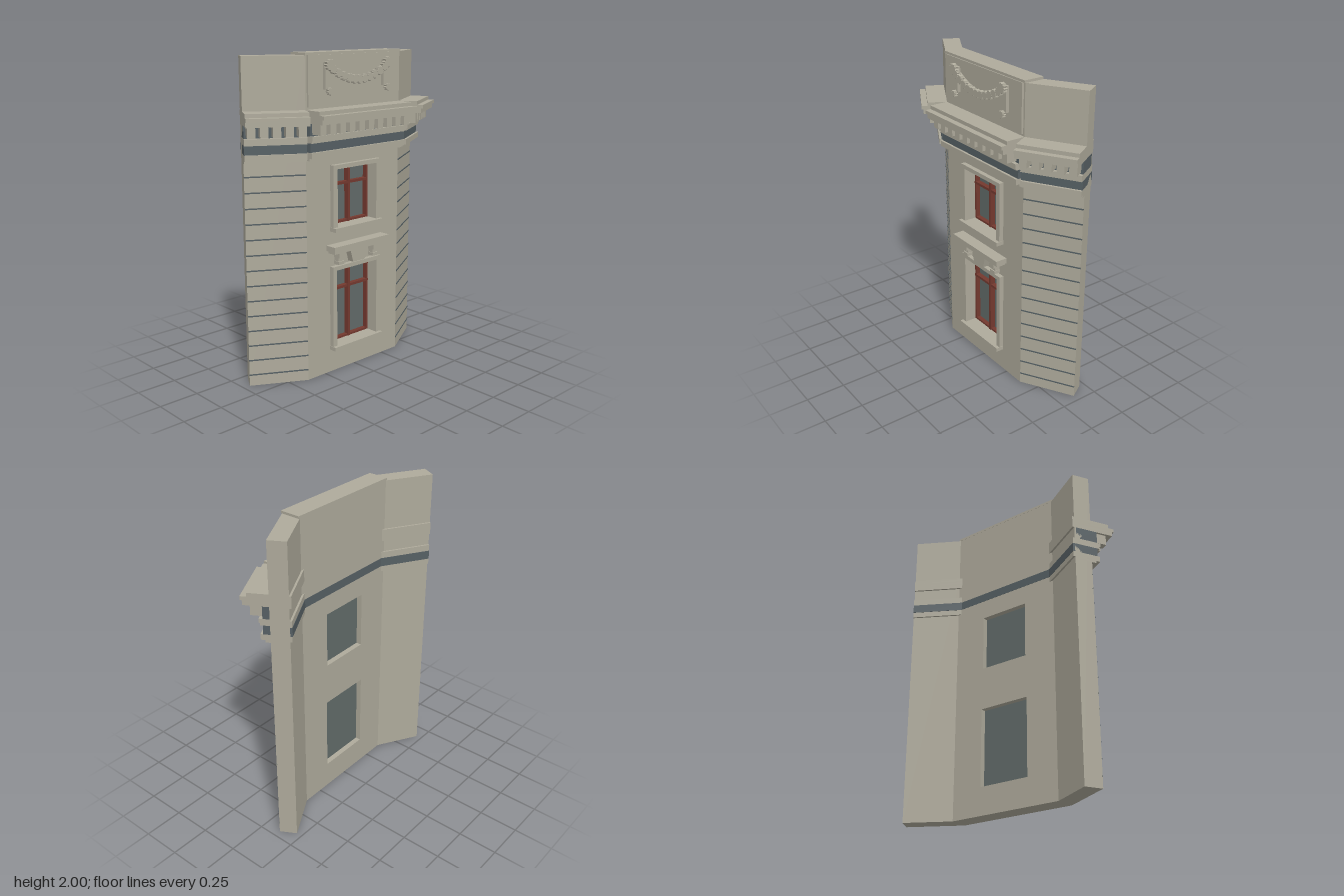
import * as THREE from 'three';

const mat = (name, color) => Object.assign(new THREE.MeshStandardMaterial({ color }), { name });

export function createModel() {
  const stone = mat('stone', 0xaeaa9b);
  const slate = mat('slate', 0x566064);
  const glass = mat('glass', 0x626b69);
  const joinery = mat('redJoinery', 0x74392f);

  const model = new THREE.Group();
  model.name = 'facadeBay';

  const add = (parent, name, geo, material) => {
    const mesh = new THREE.Mesh(geo, material);
    mesh.name = name;
    parent.add(mesh);
    return mesh;
  };
  // Box given by its limits
  const box = (parent, name, material, x0, x1, y0, y1, z0, z1) =>
    add(parent, name, new THREE.BoxGeometry(x1 - x0, y1 - y0, z1 - z0), material)
      .position.set((x0 + x1) / 2, (y0 + y1) / 2, (z0 + z1) / 2);
  const extrude = (shape, depth) =>
    new THREE.ExtrudeGeometry(shape, { depth, bevelEnabled: false });
  const rect = (C, x0, x1, y0, y1) => {
    const s = new C();
    s.moveTo(x0, y0); s.lineTo(x1, y0); s.lineTo(x1, y1); s.lineTo(x0, y1); s.closePath();
    return s;
  };

  // Each section has its wall face at local z = 0, facing outward
  const section = (name, x, z, angle) => {
    const g = new THREE.Group();
    g.name = name;
    g.position.set(x, 0, z);
    g.rotation.y = angle;
    model.add(g);
    return g;
  };

  // Stacked cornice courses: name, material, y0, y1, projection, back
  const BACK = -0.122;
  const courses = [
    ['architraveFillet', stone, 1.38, 1.395, 0.03, -0.1],
    ['architrave', stone, 1.395, 1.43, 0.055, BACK],
    ['frieze', slate, 1.43, 1.485, 0.04, BACK - 0.002],
    ['friezeMoulding', stone, 1.485, 1.5, 0.055, BACK],
    ['friezeMouldingTop', stone, 1.5, 1.525, 0.062, BACK],
    ['dentilBacking', slate, 1.525, 1.6, 0.04, -0.1],
    ['corniceSoffit', stone, 1.6, 1.63, 0.148, BACK],
    ['corniceEdge', stone, 1.63, 1.652, 0.16, BACK],
    ['corniceTop', stone, 1.652, 1.675, 0.122, BACK],
  ];
  const cornice = (parent, width, count) => {
    const g = new THREE.Group();
    g.name = 'cornice';
    parent.add(g);
    for (const [name, m, y0, y1, out, back] of courses)
      box(g, name, m, -width / 2, width / 2, y0, y1, back, out);
    const pitch = width / count;
    for (let i = 0; i < count; i++) {
      const x = -width / 2 + (i + 0.5) * pitch;
      box(g, 'dentil', stone, x - 0.023, x + 0.023, 1.535, 1.6, 0.03, 0.11);
    }
  };

  // Central section: wall with two window openings
  const W = 0.39;
  const centre = section('centreSection', 0, 0.065, 0);
  const windows = [
    { name: 'lowerWindow', w: 0.173, y0: 0.175, y1: 0.67, bar: 0.52, trim: 0.205 },
    { name: 'upperWindow', w: 0.166, y0: 0.945, y1: 1.305, bar: 1.195, trim: 0.2 },
  ];
  const wall = rect(THREE.Shape, -W, W, 0, 1.985);
  for (const o of windows) wall.holes.push(rect(THREE.Path, -o.w, o.w, o.y0, o.y1));
  add(centre, 'centreWall', extrude(wall, 0.123), stone).position.z = -0.123;
  cornice(centre, 2 * W, 10);

  for (const { name, w, y0, y1, bar, trim } of windows) {
    const g = new THREE.Group();
    g.name = name;
    centre.add(g);
    // Stone surround and sill
    const s = rect(THREE.Shape, -trim, trim, y0 - 0.005, y1 + 0.026);
    s.holes.push(rect(THREE.Path, -w, w, y0, y1));
    add(g, 'surround', extrude(s, 0.03), stone);
    box(g, 'sill', stone, -trim - 0.003, trim + 0.003, y0 - 0.025, y0, 0, 0.053);
    // Glass and red frame
    box(g, 'pane', glass, -w, w, y0, y1, -0.088, -0.08);
    const f = rect(THREE.Shape, -w, w, y0, y1);
    f.holes.push(rect(THREE.Path, -w + 0.013, w - 0.013, y0 + 0.013, y1 - 0.013));
    add(g, 'frame', extrude(f, 0.03), joinery).position.z = -0.08;
    box(g, 'mullion', joinery, -0.009, 0.009, y0, y1, -0.08, -0.045);
    box(g, 'transom', joinery, -w, w, bar - 0.008, bar + 0.008, -0.08, -0.048);
  }

  // Hood over the lower window, with keystone and brackets
  const hood = new THREE.Group();
  hood.name = 'hood';
  centre.add(hood);
  box(hood, 'hoodSlab', stone, -0.235, 0.235, 0.803, 0.837, 0, 0.078);
  box(hood, 'hoodMoulding', stone, -0.218, 0.218, 0.785, 0.803, 0, 0.058);
  const key = new THREE.Shape();
  key.moveTo(-0.05, 0.705); key.lineTo(0.05, 0.705);
  key.lineTo(0.072, 0.785); key.lineTo(-0.072, 0.785); key.closePath();
  add(hood, 'keystone', extrude(key, 0.045), stone);
  for (const x of [-0.147, 0.147]) {
    box(hood, 'bracketTop', stone, x - 0.023, x + 0.023, 0.75, 0.785, 0, 0.05);
    box(hood, 'bracketNeck', stone, x - 0.019, x + 0.019, 0.728, 0.75, 0, 0.036);
    box(hood, 'bracketFoot', stone, x - 0.023, x + 0.023, 0.708, 0.728, 0, 0.044);
  }

  // Parapet panel and coping
  box(centre, 'parapetPanel', stone, -0.378, 0.378, 1.69, 1.985, 0, 0.013);
  box(centre, 'coping', stone, -0.393, 0.393, 1.985, 2, -0.124, 0.007);

  // Garland of toothed rosettes
  const garland = new THREE.Group();
  garland.name = 'garland';
  centre.add(garland);
  const rosette = (x, y, r) => {
    const pts = [];
    for (let i = 0; i < 24; i++) {
      const a = (i / 24) * Math.PI * 2, q = i % 2 ? r * 0.8 : r;
      pts.push(new THREE.Vector2(Math.cos(a) * q, Math.sin(a) * q));
    }
    add(garland, 'rosette', extrude(new THREE.Shape(pts), 0.024), stone).position.set(x, y, 0.031);
  };
  const sag = (x) => 1.835 + 0.085 * (x / 0.24) ** 2;
  const rope = [];
  for (let i = -5; i <= 5; i++) {
    const x = i * 0.0425;
    rosette(x, sag(x), 0.027);
    rope.push(new THREE.Vector3(x, sag(x), 0.024));
  }
  add(garland, 'rope', new THREE.TubeGeometry(new THREE.CatmullRomCurve3(rope), 24, 0.014, 6), stone);
  for (const x of [-0.24, 0.24]) {
    rosette(x, 1.927, 0.034);
    rosette(x, 1.775, 0.022);
    box(garland, 'drop', stone, x - 0.023, x + 0.023, 1.785, 1.94, 0.01, 0.034);
  }

  // Angled wings with slate joints
  const L = 0.364, turn = Math.PI / 6;
  for (const side of [1, -1]) {
    const wing = section(side > 0 ? 'leftWing' : 'rightWing',
      side * (W + (L / 2) * Math.cos(turn)), 0.065 - (L / 2) * Math.sin(turn), side * turn);
    box(wing, 'wingWall', stone, -L / 2, L / 2, 0, 1.985, -0.11, 0);
    cornice(wing, L, 5);
    for (let i = 0; i < 14; i++) {
      const y = 0.07 + i * 0.0943;
      box(wing, 'joint', slate, -L / 2, L / 2, y - 0.004, y + 0.004, -0.005, 0.003);
    }
  }
  return model;
}
